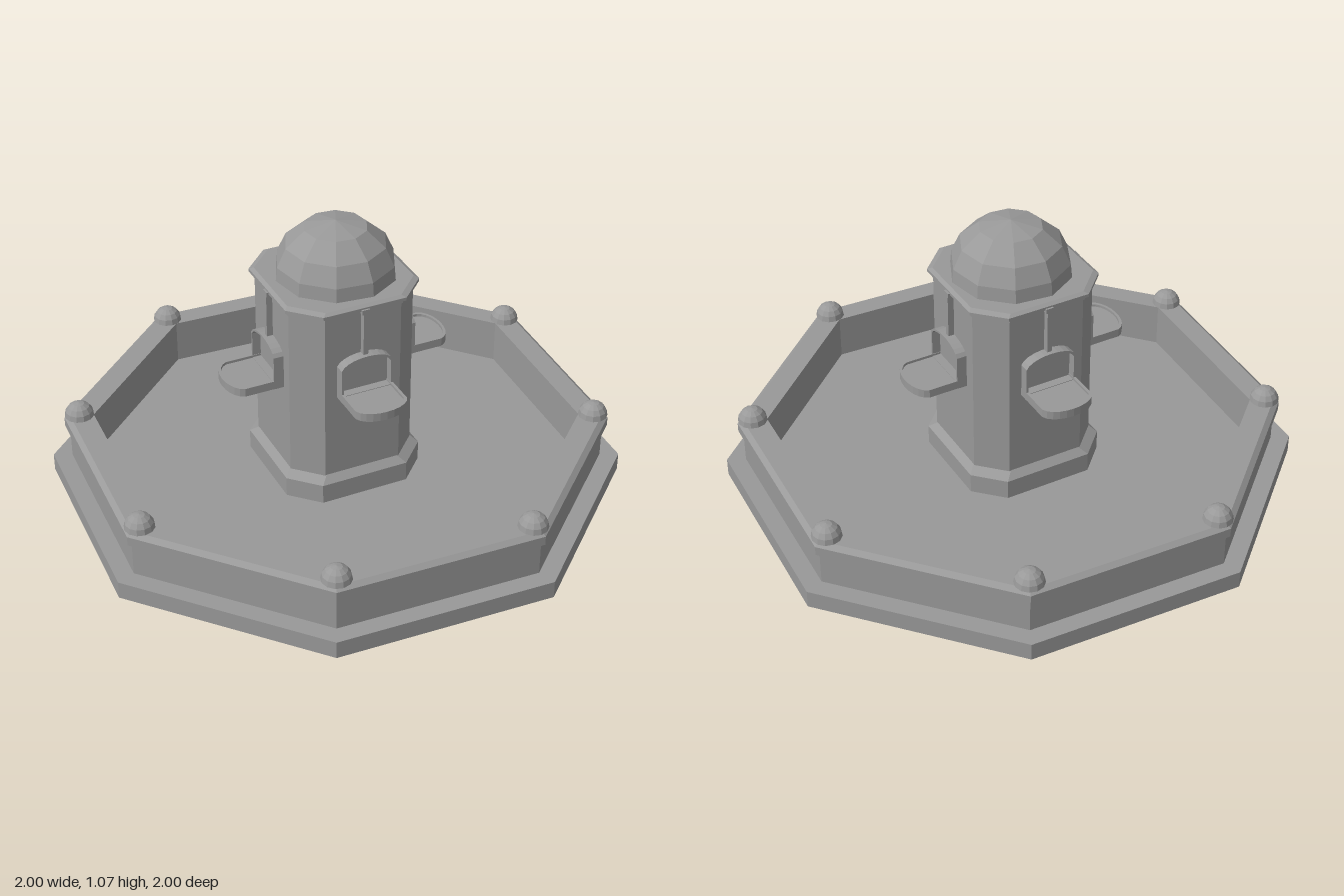
import * as THREE from 'three';

const stone = new THREE.MeshStandardMaterial({ color: 0x999999, flatShading: true, side: THREE.DoubleSide });
const CX = -0.01; // the column stands slightly off the basin's middle
const FLOOR = 0.08; // top of the basin floor
const TURN = THREE.MathUtils.degToRad(19.8); // turn of the octagonal basin

function add(parent, name, geometry, x = 0, y = 0, z = 0) {
  const mesh = new THREE.Mesh(geometry, stone);
  mesh.name = name;
  mesh.position.set(x, y, z);
  parent.add(mesh);
  return mesh;
}

// Turned ring or solid from a [radius, y] profile
function turned(profile, sides, turn) {
  return new THREE.LatheGeometry(profile.map(([r, y]) => new THREE.Vector2(r, y)), sides, turn);
}

// Square with cut corners, from a [half width, y] profile
function cutSquare(profile, cut) {
  const c = Math.cos(Math.PI / 8);
  const g = turned(profile.map(([h, y]) => [h / c, y]), 8, Math.PI / 8);
  const p = g.attributes.position;
  for (let i = 0; i < p.count; i++) {
    const x = p.getX(i), z = p.getZ(i);
    const half = Math.max(Math.abs(x), Math.abs(z));
    const short = Math.max(half - cut, 0);
    if (Math.abs(x) > Math.abs(z)) p.setZ(i, Math.sign(z) * short);
    else p.setX(i, Math.sign(x) * short);
  }
  return g;
}

function extrude(shape, depth) {
  return new THREE.ExtrudeGeometry(shape, { depth, bevelEnabled: false, curveSegments: 10 });
}

// Outline with straight sides and a shallow rounded end
function roundedEnd(half, from, shoulder, end) {
  const s = new THREE.Shape();
  s.moveTo(-half, from);
  s.lineTo(half, from);
  s.lineTo(half, shoulder);
  s.bezierCurveTo(half * 0.8, end, -half * 0.8, end, -half, shoulder);
  s.closePath();
  return s;
}

// Spout with its arched niche, feed pipe and small tray, facing +z
function makeSpout() {
  const g = new THREE.Group();
  g.name = 'spout';
  const frame = roundedEnd(0.1, 0.505, 0.635, 0.685);
  frame.holes.push(roundedEnd(0.092, 0.53, 0.631, 0.676));
  add(g, 'nicheFrame', extrude(frame, 0.05), 0, 0, 0.23);
  add(g, 'nicheBack', extrude(roundedEnd(0.095, 0.51, 0.632, 0.68), 0.018), 0, 0, 0.23);
  add(g, 'feedPipe', new THREE.BoxGeometry(0.018, 0.185, 0.035), 0, 0.757, 0.2475);
  add(g, 'pipeCollar', new THREE.BoxGeometry(0.03, 0.018, 0.036), 0, 0.845, 0.248);

  const rim = roundedEnd(0.1, 0.235, 0.39, 0.456);
  rim.holes.push(roundedEnd(0.09, 0.245, 0.385, 0.445));
  add(g, 'trayRim', extrude(rim, 0.032).rotateX(Math.PI / 2), 0, 0.538, 0);
  add(g, 'trayFloor', extrude(roundedEnd(0.094, 0.235, 0.386, 0.448), 0.022).rotateX(Math.PI / 2), 0, 0.528, 0);
  return g;
}

export function createModel() {
  const model = new THREE.Group();
  model.name = 'fountain';

  // Basin, hollow underneath
  const basin = new THREE.Group();
  basin.name = 'basin';
  model.add(basin);
  add(basin, 'basinFloor', turned([[0, 0.065], [0.9, 0.065], [0.9, FLOOR], [0, FLOOR]], 8, TURN));
  add(basin, 'step', turned([[1.063, 0], [1.063, 0.067], [0.992, 0.067]], 8, TURN));
  add(basin, 'wall', turned([[0.992, 0.067], [0.992, 0.2]], 8, TURN));
  add(basin, 'innerWall', turned([[0.9, 0.25], [0.9, 0.065]], 8, TURN));
  add(basin, 'coping', turned([
    [0.992, 0.2], [1.01, 0.2], [1.01, 0.235], [0.99, 0.25], [0.9, 0.25],
  ], 8, TURN));
  const knob = new THREE.SphereGeometry(0.055, 12, 4, 0, Math.PI * 2, 0, Math.PI / 2);
  for (let i = 0; i < 8; i++) {
    const a = TURN + i * Math.PI / 4;
    add(basin, 'knob', knob, 0.953 * Math.sin(a), 0.25, 0.953 * Math.cos(a));
  }

  // Column
  const column = new THREE.Group();
  column.name = 'column';
  column.position.x = CX;
  model.add(column);
  add(column, 'plinth', cutSquare([
    [0.268, FLOOR], [0.268, FLOOR + 0.075], [0.242, FLOOR + 0.1],
  ], 0.1));
  add(column, 'shaft', cutSquare([[0.242, FLOOR], [0.242, 0.84]], 0.095));
  add(column, 'cornice', cutSquare([
    [0.242, 0.83], [0.25, 0.835], [0.25, 0.848], [0.259, 0.848], [0.259, 0.86], [0.245, 0.868], [0, 0.868],
  ], 0.1));

  // Faceted dome
  add(column, 'dome', turned([
    [0.222, 0.866], [0.217, 0.92], [0.185, 0.99], [0.115, 1.05], [0, 1.074],
  ], 10, 0.2), 0.008);

  // One spout on each broad side
  for (let i = 0; i < 4; i++) {
    const spout = makeSpout();
    spout.rotation.y = i * Math.PI / 2;
    column.add(spout);
  }
  return model;
}
